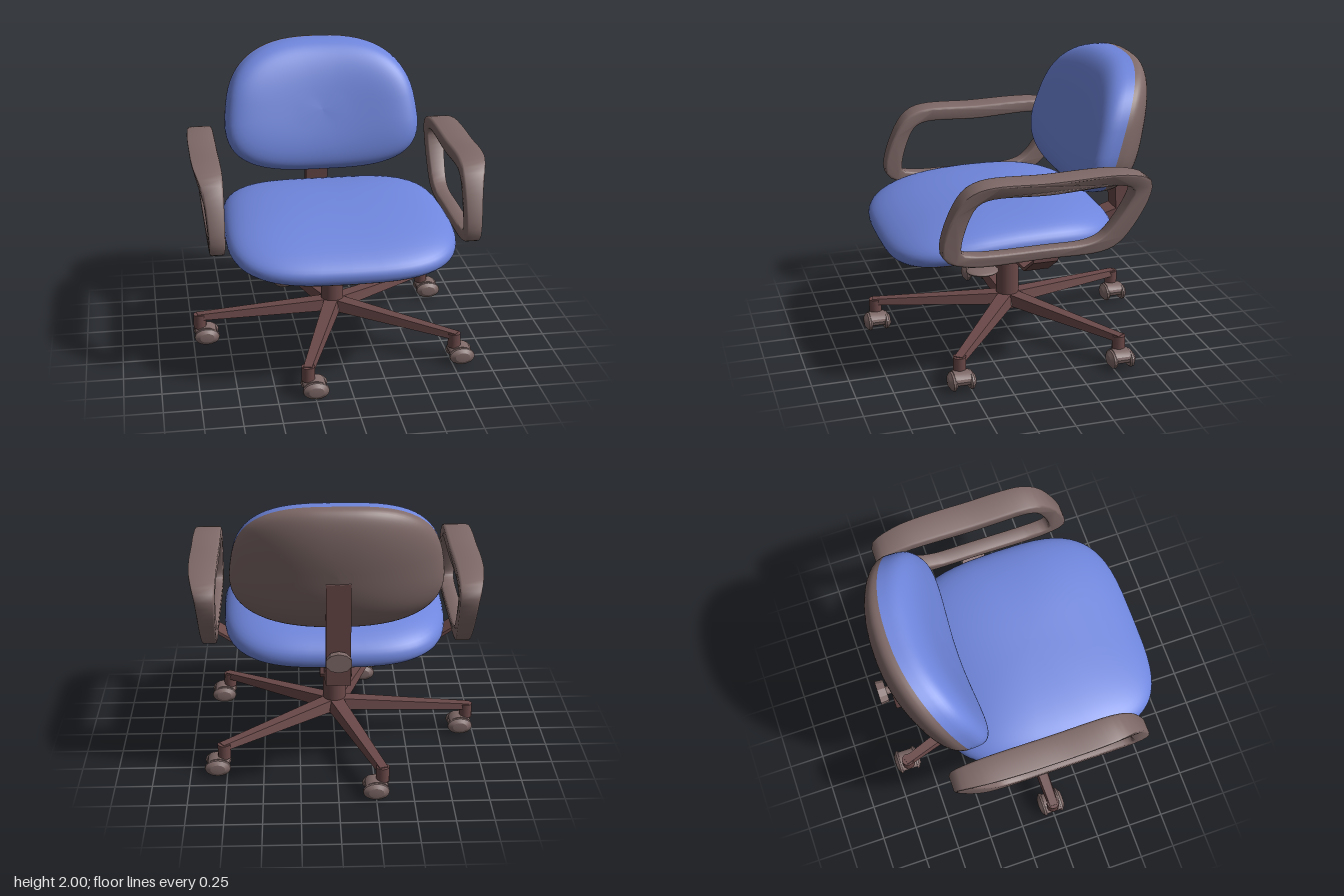
import * as THREE from 'three';
import { toCreasedNormals } from 'three/addons/utils/BufferGeometryUtils.js';

const fabric = new THREE.MeshStandardMaterial({ color: 0x6f86dd });
const plastic = new THREE.MeshStandardMaterial({ color: 0x7f6a68 });
const metal = new THREE.MeshStandardMaterial({ color: 0x6a4848 });

function add(parent, name, geometry, material, x = 0, y = 0, z = 0) {
  const mesh = new THREE.Mesh(geometry, material);
  mesh.name = name;
  mesh.position.set(x, y, z);
  parent.add(mesh);
  return mesh;
}

const power = (a, e) => Math.sign(a) * Math.pow(Math.abs(a), e);

// Part of a superellipsoid between two polar angles, bent into shape by place(u, v, w)
function pillow(from, to, n, e, place) {
  const rings = 20, sides = 64, positions = [], index = [];
  for (let i = 0; i <= rings; i++) {
    const phi = from + (to - from) * i / rings;
    const r = Math.pow(Math.max(0, Math.sin(phi)), e), w = power(Math.cos(phi), e);
    for (let j = 0; j < sides; j++) {
      const t = j / sides * Math.PI * 2;
      positions.push(...place(r * power(Math.cos(t), 2 / n), r * power(Math.sin(t), 2 / n), w));
      if (i < rings) {
        const a = i * sides + j, d = i * sides + (j + 1) % sides;
        index.push(a, a + sides, d + sides, a, d + sides, d);
      }
    }
  }
  const g = new THREE.BufferGeometry();
  g.setAttribute('position', new THREE.Float32BufferAttribute(positions, 3));
  g.setIndex(index);
  g.computeVertexNormals();
  return g;
}

const toShape = pts => new THREE.Shape(pts.map(p => new THREE.Vector2(...p)));

// Side profile of (z, y) points, given a width across x
function sideProfile(pts, width) {
  const g = new THREE.ExtrudeGeometry(toShape(pts), { depth: width, bevelEnabled: false });
  return g.translate(0, 0, -width / 2).rotateY(-Math.PI / 2);
}

// Straight rod between two points
function rod(a, b, radius) {
  return new THREE.TubeGeometry(new THREE.LineCurve3(new THREE.Vector3(...a), new THREE.Vector3(...b)), 1, radius, 8);
}

const smoothLoop = pts => new THREE.CatmullRomCurve3(
  pts.map(([z, y]) => new THREE.Vector3(z, y, 0)), true, 'centripetal'
).getSpacedPoints(72).slice(0, -1).map(p => [p.x, p.y]);

// Looped armrest, wider towards the top and bowed outwards
function armrestGeometry(side) {
  const shape = toShape(smoothLoop([[0.675, 0.98], [0.57, 1.32], [0.45, 1.415], [0, 1.425], [-0.53, 1.42],
    [-0.68, 1.36], [-0.68, 1.26], [-0.51, 0.98], [-0.4, 0.915], [0, 0.903], [0.55, 0.91]]));
  shape.holes.push(toShape(smoothLoop([[0.58, 0.985], [0.5, 1.29], [0.42, 1.353], [0, 1.355], [-0.52, 1.36],
    [-0.59, 1.31], [-0.41, 1.01], [-0.3, 0.955], [0, 0.945], [0.51, 0.955]])));
  const g = new THREE.ExtrudeGeometry(shape, {
    depth: 0.8, bevelThickness: 0.1, bevelSize: 0.014, bevelSegments: 2
  });
  const p = g.attributes.position;
  for (let i = 0; i < p.count; i++) {
    const z = p.getX(i), y = p.getY(i), t = p.getZ(i) + 0.1;
    const k = THREE.MathUtils.clamp((y - 0.89) / 0.55, 0, 1);
    const inner = 0.8 - 0.01 * k;
    const width = 0.095 + 0.065 * k + 0.04 * k ** 6 - 0.06 * k * z * z;
    p.setXYZ(i, side > 0 ? inner + (1 - t) * width : -inner - t * width, y, z);
  }
  return toCreasedNormals(g, 0.9);
}

// Tapered star leg pointing along +x
function legGeometry() {
  const g = new THREE.BoxGeometry(1, 1, 1);
  const p = g.attributes.position;
  for (let i = 0; i < p.count; i++) {
    const outer = p.getX(i) > 0, top = p.getY(i) > 0;
    const y = outer ? (top ? 0.22 : 0.18) : (top ? 0.29 : 0.21);
    const half = (outer ? 0.038 : 0.065) * (top ? 0.75 : 1);
    p.setXYZ(i, outer ? 0.97 : 0.02, y, Math.sign(p.getZ(i)) * half);
  }
  g.computeVertexNormals();
  return g;
}

// Faceted twin wheels along z, joined by a raised body
function caster(x, z) {
  const group = new THREE.Group();
  group.name = 'caster';
  const profile = [[0, 0], [0.052, 0], [0.06, 0.012], [0.058, 0.025], [0.034, 0.045], [0, 0.05]]
    .map(p => new THREE.Vector2(...p));
  for (const s of [-1, 1]) {
    const wheel = new THREE.LatheGeometry(profile, 16).rotateX(s * Math.PI / 2).scale(1.5, 1, 1);
    add(group, 'wheel', toCreasedNormals(wheel, 0.4), plastic, 0.045, 0.063, s * 0.045);
  }
  const body = new THREE.CylinderGeometry(0.048, 0.048, 0.11, 16).rotateX(Math.PI / 2).scale(1.6, 1, 1);
  add(group, 'casterBody', toCreasedNormals(body, 0.5), plastic, 0.04, 0.08, 0);
  add(group, 'casterStem', new THREE.CylinderGeometry(0.045, 0.045, 0.1, 12), metal, 0, 0.165, 0);
  group.position.set(x, 0, z);
  return group;
}

export function createModel() {
  const chair = new THREE.Group();
  chair.name = 'officeChair';

  // Seat: upholstered top over a moulded shell
  const seat = (u, v, w) => {
    const depth = w > 0 ? 0.17 + 0.025 * v + 0.03 * u * u : 0.19 * (1 - 0.28 * u * u - 0.1 * v * v);
    const y = 0.925 - 0.075 * v * v + 0.015 * v + depth * w;
    return [0.77 * u * (1 - 0.03 * v), y, 0.14 - 0.79 * v];
  };
  add(chair, 'seatCushion', pillow(0, 1.82, 3.5, 0.85, seat), fabric);
  add(chair, 'seatShell', pillow(1.82, Math.PI, 3.5, 0.85, seat), plastic);

  // Backrest: leaning, wrapped cushion with a bulging rear shell
  const back = (u, v, w) => {
    const rim = -0.675 - 0.145 * v + 0.1 * u * u;
    const depth = w > 0 ? 0.22 + 0.03 * u * u : (0.23 - 0.07 * v) * (1 - 0.15 * u * u);
    return [0.69 * u * (1 - 0.09 * v), 1.55 + 0.45 * v, rim + depth * w];
  };
  add(chair, 'backrestCushion', pillow(0, Math.PI / 2, 2.75, 0.57, back), fabric);
  add(chair, 'backrestShell', pillow(Math.PI / 2, Math.PI, 2.75, 0.78, back), plastic);

  // Back support bar and its knob
  add(chair, 'backSupportBar', sideProfile([[-0.3, 0.63], [-0.44, 0.635], [-0.8, 0.77], [-0.875, 0.8],
    [-0.88, 1.02], [-0.9, 1.51], [-0.89, 1.53], [-0.83, 1.53], [-0.775, 1.02], [-0.785, 0.86],
    [-0.58, 0.8], [-0.36, 0.74], [-0.3, 0.74]], 0.16), metal);
  const knob = new THREE.CylinderGeometry(0.06, 0.065, 0.06, 10).rotateX(Math.PI / 2);
  add(chair, 'backKnob', toCreasedNormals(knob, 0.5), plastic, 0, 1, -0.94).scale.x = 1.35;
  add(chair, 'knobShaft', new THREE.CylinderGeometry(0.03, 0.03, 0.08, 10).rotateX(Math.PI / 2), plastic, 0, 1, -0.89);

  // Tilt mechanism under the seat
  add(chair, 'tiltMechanism', sideProfile([[0.13, 0.76], [0.13, 0.66], [0.07, 0.615], [-0.36, 0.615],
    [-0.37, 0.64], [-0.34, 0.76]], 0.22), metal);
  for (const s of [-1, 1]) for (const z of [-0.11, -0.17])
    add(chair, 'pivotBolt', new THREE.CylinderGeometry(0.022, 0.022, 0.02, 10).rotateZ(Math.PI / 2), metal, s * 0.112, 0.65, z);

  // Armrests, brackets and adjustment levers on both sides
  for (const s of [-1, 1]) {
    add(chair, s > 0 ? 'leftArmrest' : 'rightArmrest', armrestGeometry(s), plastic);
    const strip = [[0.1, 0.67], [0.65, 0.715], [0.85, 0.85], [0.85, 0.92],
      [0.83, 0.92], [0.83, 0.86], [0.64, 0.735], [0.1, 0.7]].map(([x, y]) => [s * x, y]);
    const bracket = new THREE.ExtrudeGeometry(toShape(strip), { depth: 0.17, bevelEnabled: false });
    add(chair, 'armBracket', bracket, metal, 0, 0, -0.09);
    add(chair, 'leverRod', rod([s * 0.08, 0.67, 0.1], [s * 0.5, 0.71, 0.32], 0.012), metal);
    const paddle = add(chair, 'leverPaddle', new THREE.SphereGeometry(1, 16, 10), plastic, s * 0.56, 0.715, 0.34);
    paddle.scale.set(0.1, 0.02, 0.11);
  }

  // Gas column and hub
  add(chair, 'column', new THREE.CylinderGeometry(0.08, 0.08, 0.34, 24), metal, 0, 0.46, 0);
  add(chair, 'hubCollar', new THREE.CylinderGeometry(0.06, 0.11, 0.08, 20), metal, 0, 0.26, 0);
  add(chair, 'hub', new THREE.CylinderGeometry(0.065, 0.065, 0.13, 20), metal, 0, 0.24, 0);

  // Five-legged star base, one leg pointing to the right
  for (let i = 0; i < 5; i++) {
    const a = Math.PI + i * Math.PI * 2 / 5;
    add(chair, 'baseLeg', legGeometry(), metal).rotation.y = -a;
    chair.add(caster(0.95 * Math.cos(a), 0.95 * Math.sin(a)));
  }
  return chair;
}
